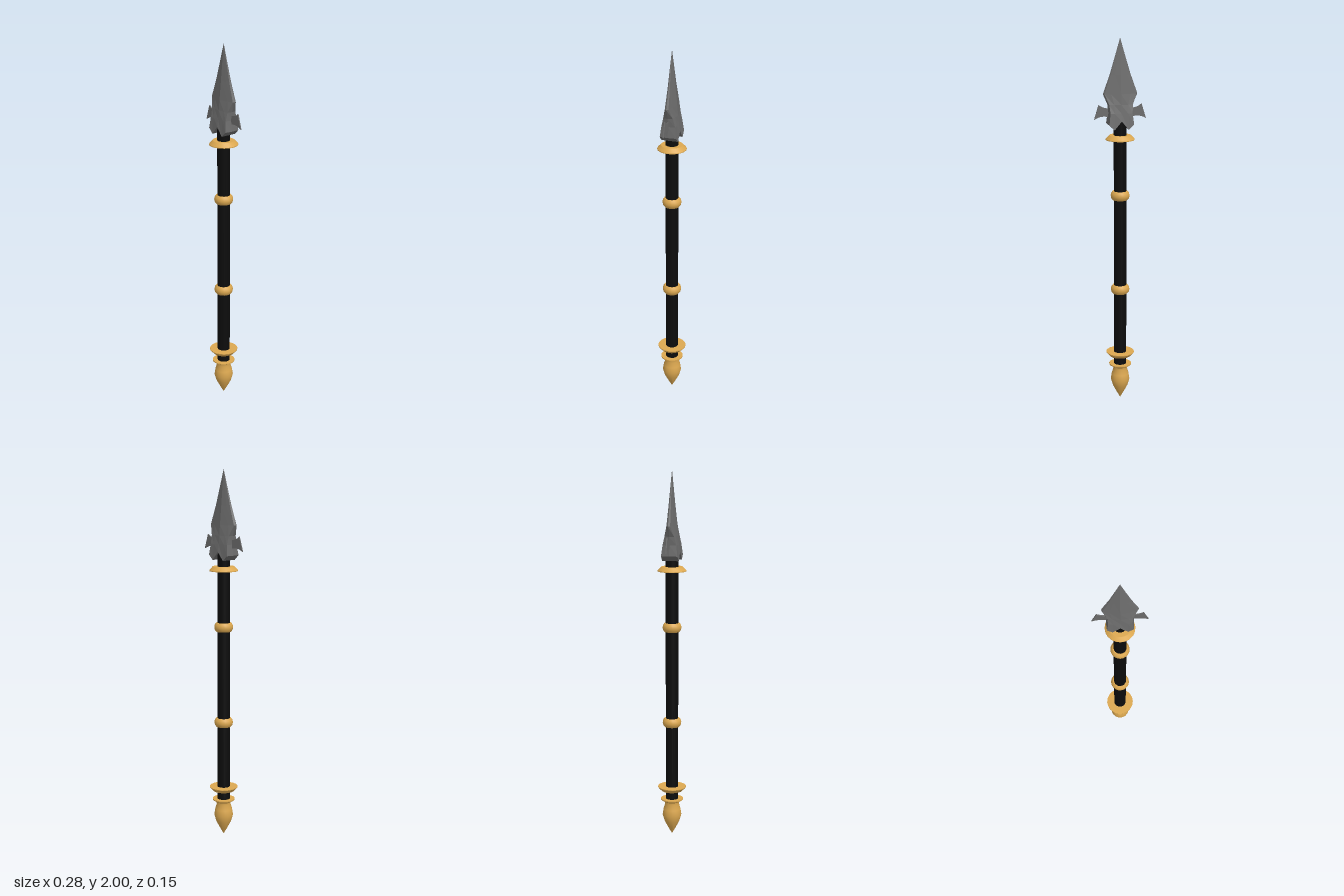
import * as THREE from 'three';
import { toCreasedNormals } from 'three/addons/utils/BufferGeometryUtils.js';

const gold = new THREE.MeshStandardMaterial({ color: 0xdca850 });
const black = new THREE.MeshStandardMaterial({ color: 0x0c0c0c });
const steel = new THREE.MeshStandardMaterial({ color: 0x6c6c6c, flatShading: true });

function add(group, name, geometry, material) {
  const mesh = new THREE.Mesh(geometry, material);
  mesh.name = name;
  group.add(mesh);
  return mesh;
}

// Turned part from [radius, y] pairs, listed bottom to top
function turned(profile, segments = 20) {
  const points = profile.map(([r, y]) => new THREE.Vector2(r, y));
  return toCreasedNormals(new THREE.LatheGeometry(points, segments), 0.65);
}

// Blade lofted through 12-sided sections, closed by a notched underside
function bladeGeometry() {
  // y, half width, shoulder depth
  const rows = [
    [2, 0, 0], [1.91, 0.026, 0.003], [1.81, 0.056, 0.006], [1.71, 0.092, 0.01],
    [1.655, 0.068, 0.026], [1.61, 0.064, 0.037],
  ];
  const quarters = rows.map(([y, w, e]) => {
    const c = 0.0945 * (2 - y) + 0.002 * (2 - y);
    return [[w, y, 0], [w * 0.92, y, e], [w * 0.55, y, e + (c - e) * 0.45], [0, y, c]];
  });
  quarters.push([[0.07, 1.552, 0], [0.066, 1.552, 0.044], [0.038, 1.525, 0.045], [0, 1.57, 0.044]]);

  const positions = [];
  for (const q of quarters) {
    const half = [...q, ...q.slice(0, 3).reverse().map(([x, y, z]) => [-x, y, z])];
    const back = half.slice(1, 6).reverse().map(([x, y, z]) => [x, y, -z]);
    positions.push(...half.flat(), ...back.flat());
  }
  const index = [];
  for (let r = 0; r < quarters.length - 1; r++) {
    for (let i = 0; i < 12; i++) {
      const j = (i + 1) % 12, a = r * 12, b = a + 12;
      if (r > 0) index.push(a + i, a + j, b + i);
      index.push(a + j, b + j, b + i);
    }
  }
  const last = (quarters.length - 1) * 12;
  for (let i = 0; i < 6; i++) {
    const m = last + ((12 - i) % 12), n = last + 11 - i;
    index.push(last + i, last + i + 1, m, last + i + 1, n, m);
  }
  const geometry = new THREE.BufferGeometry();
  geometry.setAttribute('position', new THREE.Float32BufferAttribute(positions, 3));
  geometry.setIndex(index);
  geometry.computeVertexNormals();
  return geometry;
}

// Thin flared barb on one side of the blade
function barbGeometry(side) {
  const shape = new THREE.Shape();
  shape.moveTo(side * 0.04, 1.635);
  shape.lineTo(side * 0.07, 1.635);
  shape.quadraticCurveTo(side * 0.095, 1.637, side * 0.115, 1.655);
  shape.lineTo(side * 0.139, 1.577);
  shape.quadraticCurveTo(side * 0.11, 1.595, side * 0.08, 1.592);
  shape.lineTo(side * 0.04, 1.585);
  const geometry = new THREE.ExtrudeGeometry(shape, { depth: 0.006, bevelEnabled: false, curveSegments: 4 });
  return geometry.translate(0, 0, -0.003);
}

export function createModel() {
  const group = new THREE.Group();

  // Shaft
  const shaft = new THREE.CylinderGeometry(0.034, 0.034, 1.38, 20);
  add(group, 'shaft', shaft.translate(0, 0.88, 0), black);

  // Pointed pommel with a flared lip
  add(group, 'pommel', turned([
    [0, 0], [0.02, 0.035], [0.041, 0.075], [0.052, 0.113], [0.047, 0.145],
    [0.038, 0.175], [0.04, 0.187], [0.061, 0.2], [0.061, 0.206], [0, 0.206],
  ]), gold);

  // Bevelled guards: wide face up at the bottom, wide face down at the top
  const lower = [[0.03, 0.252], [0.058, 0.252], [0.077, 0.272], [0.077, 0.276], [0.03, 0.276]];
  const upper = lower.map(([r, y]) => [r, 1.743 - y]).reverse();
  add(group, 'lowerGuard', turned(lower), gold);
  add(group, 'upperGuard', turned(upper), gold);

  // Rounded grip rings
  for (const [name, y] of [['lowerRing', 0.64], ['upperRing', 1.165]]) {
    const ring = turned([
      [0.03, -0.024], [0.04, -0.024], [0.048, -0.014], [0.051, 0],
      [0.048, 0.014], [0.04, 0.024], [0.03, 0.024],
    ]);
    add(group, name, ring, gold).position.y = y;
  }

  // Spearhead
  add(group, 'blade', bladeGeometry(), steel);
  add(group, 'leftBarb', barbGeometry(1), steel);
  add(group, 'rightBarb', barbGeometry(-1), steel);

  return group;
}
